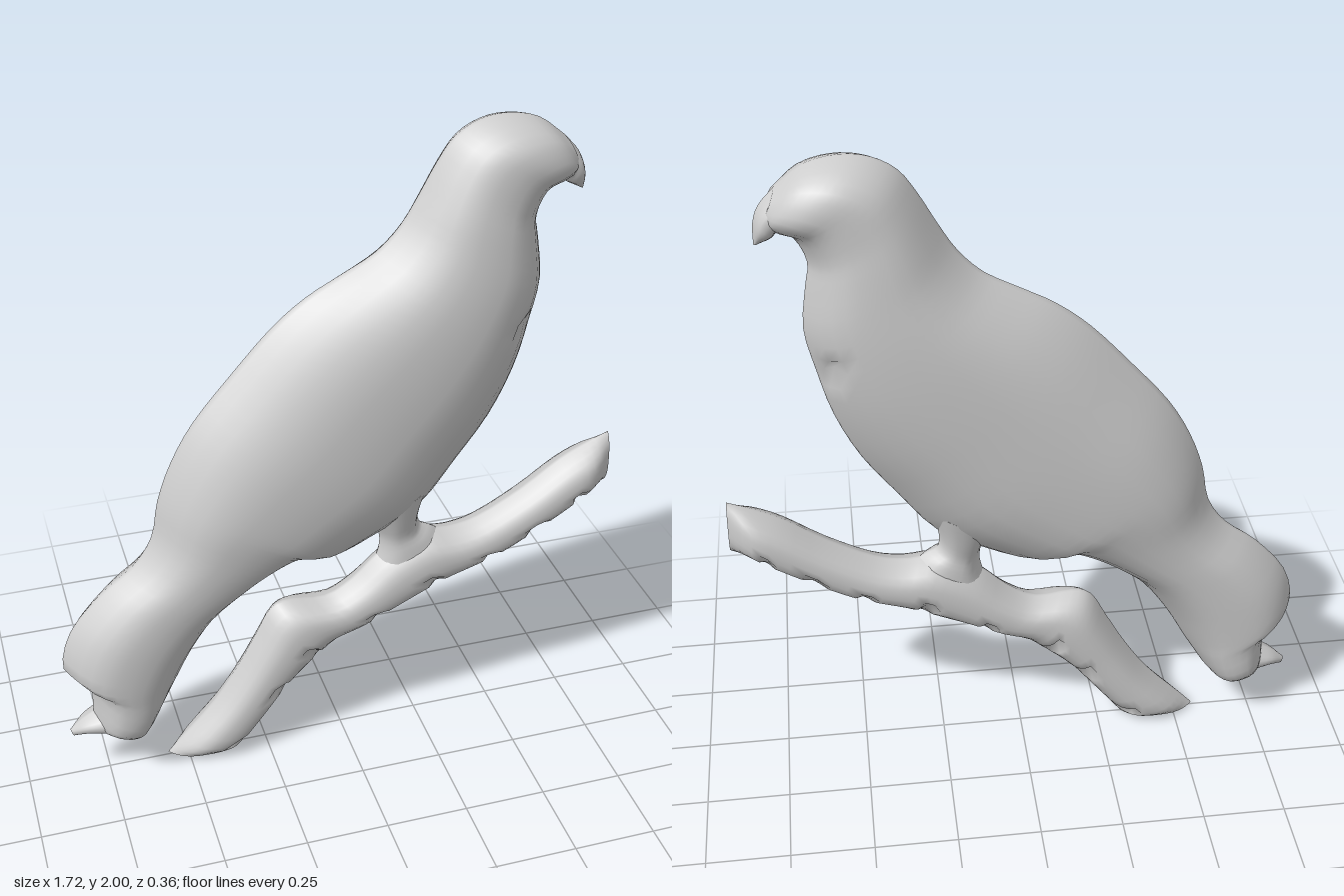
import * as THREE from 'three';

const SIDES = 28;
const STEPS = 3;

// Skin over cross-sections. Each row is [back x, back y, belly x, belly y, half depth].
// The section is a full lens with bevelled edges. Rings listed in "notches" are
// pinched where the section passes "notchStart" (0 is mid height, 1 the belly edge).
function loft(rows, notches = [], notchStart = 0.3) {
  const back = new THREE.CatmullRomCurve3(rows.map(r => new THREE.Vector3(r[0], r[1], r[4])), false, 'catmullrom', 0.5);
  const belly = new THREE.CatmullRomCurve3(rows.map(r => new THREE.Vector3(r[2], r[3], 0)), false, 'catmullrom', 0.5);
  const n = (rows.length - 1) * STEPS;
  const pos = [], idx = [];
  const ring = i => {
    const a = back.getPoint(i / n), b = belly.getPoint(i / n);
    const cx = (a.x + b.x) / 2, cy = (a.y + b.y) / 2;
    for (let j = 0; j < SIDES; j++) {
      const t = (j / SIDES) * Math.PI * 2;
      const u = Math.cos(t);
      const pinch = notches.includes(i) && u > notchStart ? 0.5 : 1;
      const z = Math.sign(Math.sin(t)) * a.z * (1 - Math.abs(u) ** 3) * pinch;
      pos.push(cx + (b.x - a.x) * u / 2, Math.max(0, cy + (b.y - a.y) * u / 2), z);
    }
    return [cx, cy, 0];
  };
  for (let i = 0; i <= n; i++) {
    ring(i);
    if (i === n) break;
    for (let j = 0; j < SIDES; j++) {
      const k = (j + 1) % SIDES, p = i * SIDES, q = p + SIDES;
      idx.push(p + j, q + j, p + k, p + k, q + j, q + k);
    }
  }
  // flat end caps with their own vertices
  for (const end of [0, n]) {
    const first = pos.length / 3;
    pos.push(...ring(end));
    const c = first + SIDES;
    for (let j = 0; j < SIDES; j++) {
      const k = (j + 1) % SIDES;
      if (end === 0) idx.push(c, first + j, first + k);
      else idx.push(c, first + k, first + j);
    }
  }
  const g = new THREE.BufferGeometry();
  g.setAttribute('position', new THREE.Float32BufferAttribute(pos, 3));
  g.setIndex(idx);
  g.computeVertexNormals();
  return g;
}

export function createModel() {
  const model = new THREE.Group();
  model.name = 'perchedBird';
  const grey = new THREE.MeshStandardMaterial({ color: 0xcccccc });
  grey.name = 'plain grey';
  const add = (name, geometry) => {
    const mesh = new THREE.Mesh(geometry, grey);
    mesh.name = name;
    model.add(mesh);
  };

  // Tail, trunk and head in one skin, with a small notch in the breast
  add('body', loft([
    [-0.79, 0.18, -0.66, 0.13, 0.05],
    [-0.785, 0.23, -0.61, 0.16, 0.115],
    [-0.79, 0.36, -0.56, 0.24, 0.125],
    [-0.86, 0.41, -0.52, 0.31, 0.13],
    [-0.83, 0.54, -0.46, 0.42, 0.132],
    [-0.73, 0.66, -0.38, 0.53, 0.132],
    [-0.63, 0.74, -0.28, 0.61, 0.135],
    [-0.57, 0.83, -0.18, 0.67, 0.145],
    [-0.545, 0.95, -0.08, 0.70, 0.16],
    [-0.50, 1.07, 0.00, 0.67, 0.17],
    [-0.43, 1.19, 0.11, 0.71, 0.176],
    [-0.32, 1.32, 0.25, 0.79, 0.18],
    [-0.20, 1.45, 0.36, 0.93, 0.18],
    [-0.10, 1.53, 0.46, 1.07, 0.18],
    [0.00, 1.585, 0.53, 1.22, 0.178],
    [0.10, 1.64, 0.57, 1.37, 0.172],
    [0.17, 1.71, 0.595, 1.50, 0.162],
    [0.22, 1.79, 0.58, 1.63, 0.15],
    [0.27, 1.88, 0.57, 1.70, 0.138],
    [0.32, 1.95, 0.60, 1.77, 0.132],
    [0.39, 1.99, 0.645, 1.79, 0.128],
    [0.47, 2.00, 0.665, 1.80, 0.115],
    [0.56, 1.98, 0.675, 1.81, 0.09],
    [0.64, 1.92, 0.68, 1.83, 0.05],
  ], [45], 0.7));

  // Hooked beak
  add('beak', loft([
    [0.64, 1.92, 0.60, 1.80, 0.065],
    [0.685, 1.87, 0.635, 1.80, 0.06],
    [0.703, 1.82, 0.65, 1.785, 0.05],
    [0.706, 1.76, 0.69, 1.765, 0.01],
  ]));

  // Ragged feather tip on the tail
  add('tailFeatherTip', loft([
    [-0.86, 0.175, -0.85, 0.15, 0.01],
    [-0.82, 0.21, -0.79, 0.165, 0.045],
    [-0.77, 0.24, -0.70, 0.15, 0.07],
  ]));

  // Foot gripping the branch
  add('foot', loft([
    [0.08, 0.56, 0.38, 0.62, 0.07],
    [0.115, 0.63, 0.30, 0.70, 0.065],
    [0.125, 0.69, 0.25, 0.73, 0.06],
    [0.11, 0.74, 0.25, 0.80, 0.075],
    [0.07, 0.82, 0.28, 0.90, 0.10],
  ]));

  // Crooked branch, notched along the underside
  add('branch', loft([
    [-0.565, 0.01, -0.33, 0.0, 0.045],
    [-0.52, 0.06, -0.30, 0.04, 0.08],
    [-0.41, 0.18, -0.24, 0.12, 0.084],
    [-0.33, 0.30, -0.17, 0.21, 0.084],
    [-0.27, 0.41, -0.12, 0.26, 0.086],
    [-0.22, 0.50, -0.07, 0.30, 0.086],
    [-0.16, 0.52, -0.01, 0.35, 0.082],
    [-0.05, 0.51, 0.08, 0.39, 0.08],
    [0.04, 0.56, 0.16, 0.43, 0.084],
    [0.13, 0.645, 0.26, 0.47, 0.086],
    [0.24, 0.70, 0.34, 0.505, 0.086],
    [0.34, 0.69, 0.43, 0.54, 0.082],
    [0.44, 0.71, 0.52, 0.575, 0.08],
    [0.58, 0.785, 0.63, 0.635, 0.08],
    [0.70, 0.87, 0.74, 0.70, 0.08],
    [0.79, 0.915, 0.80, 0.74, 0.07],
    [0.858, 0.942, 0.862, 0.77, 0.02],
  ], [3, 9, 15, 23, 29, 35, 39, 43]));
  return model;
}
